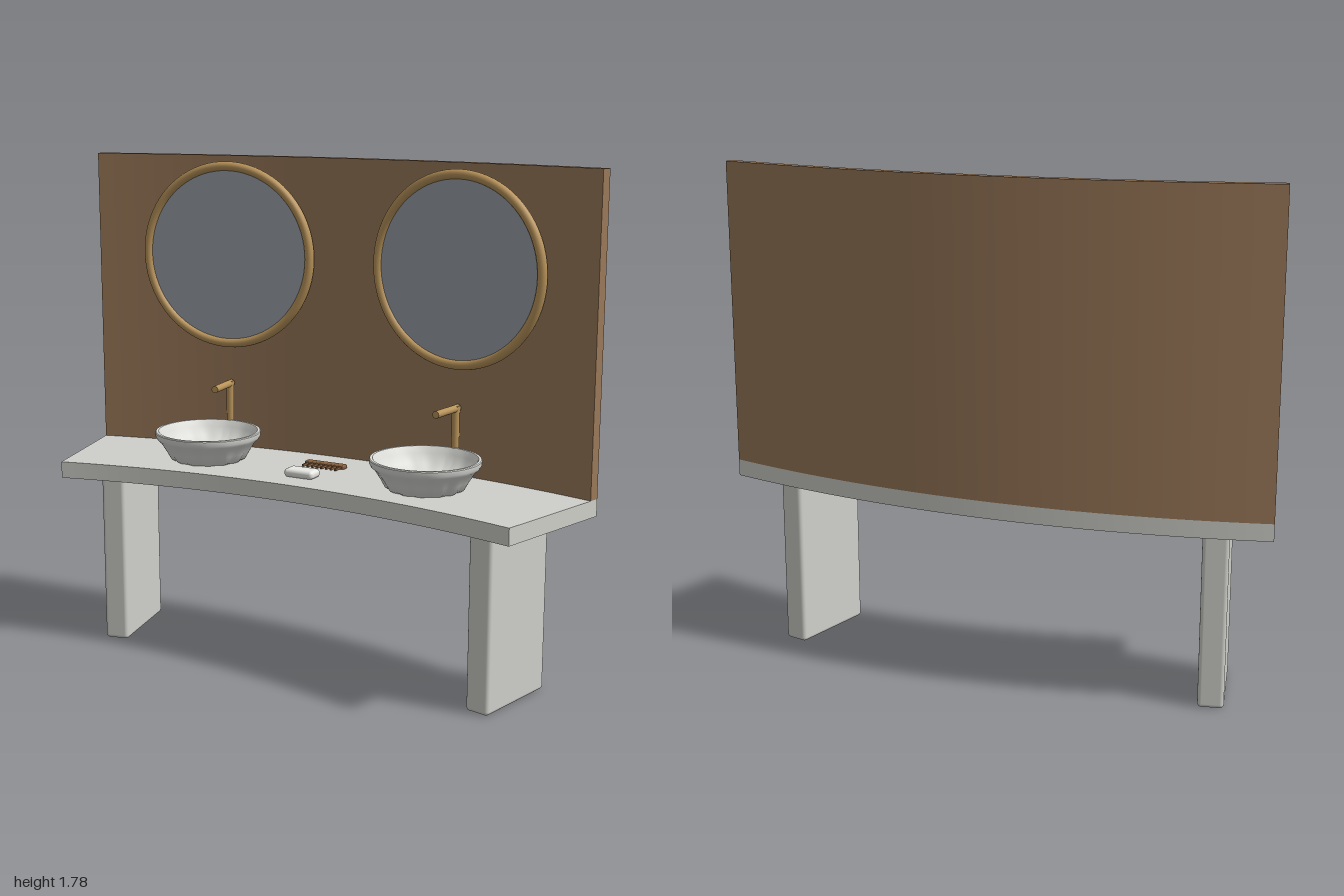
import * as THREE from 'three';
import { toCreasedNormals } from 'three/addons/utils/BufferGeometryUtils.js';
import { RoundedBoxGeometry } from 'three/addons/geometries/RoundedBoxGeometry.js';

const ARC_Z = 3.564;   // centre of the curved plan
const ARC_R = 3.864;   // radius of the back edge
const DEG = Math.PI / 180;
const TOP = 0.69;      // counter top height

const material = (name, color) => {
  const m = new THREE.MeshStandardMaterial({ color });
  m.name = name;
  return m;
};

function addMesh(parent, name, geometry, mat, x = 0, y = 0, z = 0) {
  const mesh = new THREE.Mesh(geometry, mat);
  mesh.name = name;
  mesh.position.set(x, y, z);
  parent.add(mesh);
  return mesh;
}

// Slab following the curved plan, between two radii
function arcSlab(inner, outer, height) {
  const a = 75 * DEG, b = 105 * DEG;
  const shape = new THREE.Shape();
  shape.absarc(0, -ARC_Z, outer, a, b, false);
  shape.absarc(0, -ARC_Z, inner, b, a, true);
  const g = new THREE.ExtrudeGeometry(shape, { depth: height, bevelEnabled: false, curveSegments: 32 });
  g.rotateX(-Math.PI / 2);
  return toCreasedNormals(g, 0.5);
}

// Bowl with a plain rim and a softly fluted lower body
function basinGeometry() {
  const profile = [
    [0, 0], [0.125, 0], [0.135, 0.006], [0.152, 0.035], [0.172, 0.065], [0.186, 0.078], [0.192, 0.088],
    [0.193, 0.103], [0.19, 0.106], [0.181, 0.106], [0.178, 0.102], [0.17, 0.082],
    [0.15, 0.052], [0.12, 0.03], [0.07, 0.018], [0, 0.015],
  ].map(([x, y]) => new THREE.Vector2(x, y));
  const g = new THREE.LatheGeometry(profile, 96);
  const p = g.attributes.position;
  for (let i = 0; i < p.count; i++) {
    const x = p.getX(i), y = p.getY(i), z = p.getZ(i);
    const s = 1 + 0.03 * Math.max(0, 1 - y / 0.085) * Math.cos(14 * Math.atan2(x, z));
    p.setXYZ(i, x * s, y, z * s);
  }
  return toCreasedNormals(g, 0.7);
}

// Pivot at the arc centre; local -z points out along the given angle
function pivot(parent, name, degrees) {
  const g = new THREE.Group();
  g.name = name;
  g.position.z = ARC_Z;
  g.rotation.y = -degrees * DEG;
  parent.add(g);
  return g;
}

export function createModel() {
  const model = new THREE.Group();
  model.name = 'doubleVanity';
  const stone = material('stone', 0xcfd0ca);
  const ceramic = material('ceramic', 0xdcdcd8);
  const wood = material('wood', 0x9c7a5a);
  const brass = material('brass', 0xb8935a);
  const glass = material('mirrorGlass', 0x9a9fa6);
  const soapWhite = material('soapWhite', 0xeeeeea);
  const combWood = material('combWood', 0x8a6240);

  // Curved counter and back panel
  addMesh(model, 'counter', arcSlab(ARC_R - 0.48, ARC_R, 0.06), stone, 0, TOP - 0.06);
  addMesh(model, 'backPanel', arcSlab(ARC_R - 0.038, ARC_R, 1.09), wood, 0, TOP);

  const bowl = basinGeometry();
  const leg = new RoundedBoxGeometry(0.09, 0.63, 0.335, 3, 0.014);
  for (const [side, label] of [[1, 'left'], [-1, 'right']]) {
    const support = pivot(model, label + 'Support', side * 12.2);
    addMesh(support, 'leg', leg, stone, 0, 0.315, -3.626);

    const station = pivot(model, label + 'Station', side * 7);
    addMesh(station, 'basin', bowl, ceramic, 0, TOP, -3.607);

    // Faucet: upright post and spout reaching over the basin
    addMesh(station, 'faucetPost', new THREE.CylinderGeometry(0.014, 0.014, 0.255, 20), brass, 0, TOP + 0.1275, -3.8);
    const spout = addMesh(station, 'faucetSpout', new THREE.CylinderGeometry(0.013, 0.013, 0.147, 20), brass, 0, 0.935, -3.7405);
    spout.rotation.x = Math.PI / 2;

    // Round mirror
    addMesh(station, 'mirrorFrame', new THREE.TorusGeometry(0.326, 0.017, 16, 80), brass, 0, 1.417, -3.792);
    const pane = addMesh(station, 'mirrorGlass', new THREE.CylinderGeometry(0.314, 0.314, 0.009, 80), glass, 0, 1.417, -3.792);
    pane.rotation.x = Math.PI / 2;
  }

  // Soap bar
  addMesh(model, 'soap', new RoundedBoxGeometry(0.115, 0.03, 0.066, 4, 0.013), soapWhite, -0.003, TOP + 0.015, 0.056);

  // Comb lying on the counter
  const comb = new THREE.Group();
  comb.name = 'comb';
  comb.position.set(0, TOP + 0.008, 0);
  model.add(comb);
  addMesh(comb, 'combSpine', new RoundedBoxGeometry(0.16, 0.016, 0.03, 2, 0.005), combWood, 0, 0, -0.113);
  for (let i = 0; i < 8; i++) {
    addMesh(comb, 'combTooth', new THREE.BoxGeometry(0.007, 0.008, 0.044), combWood, -0.066 + i * 0.0188, 0, -0.082);
  }
  return model;
}
